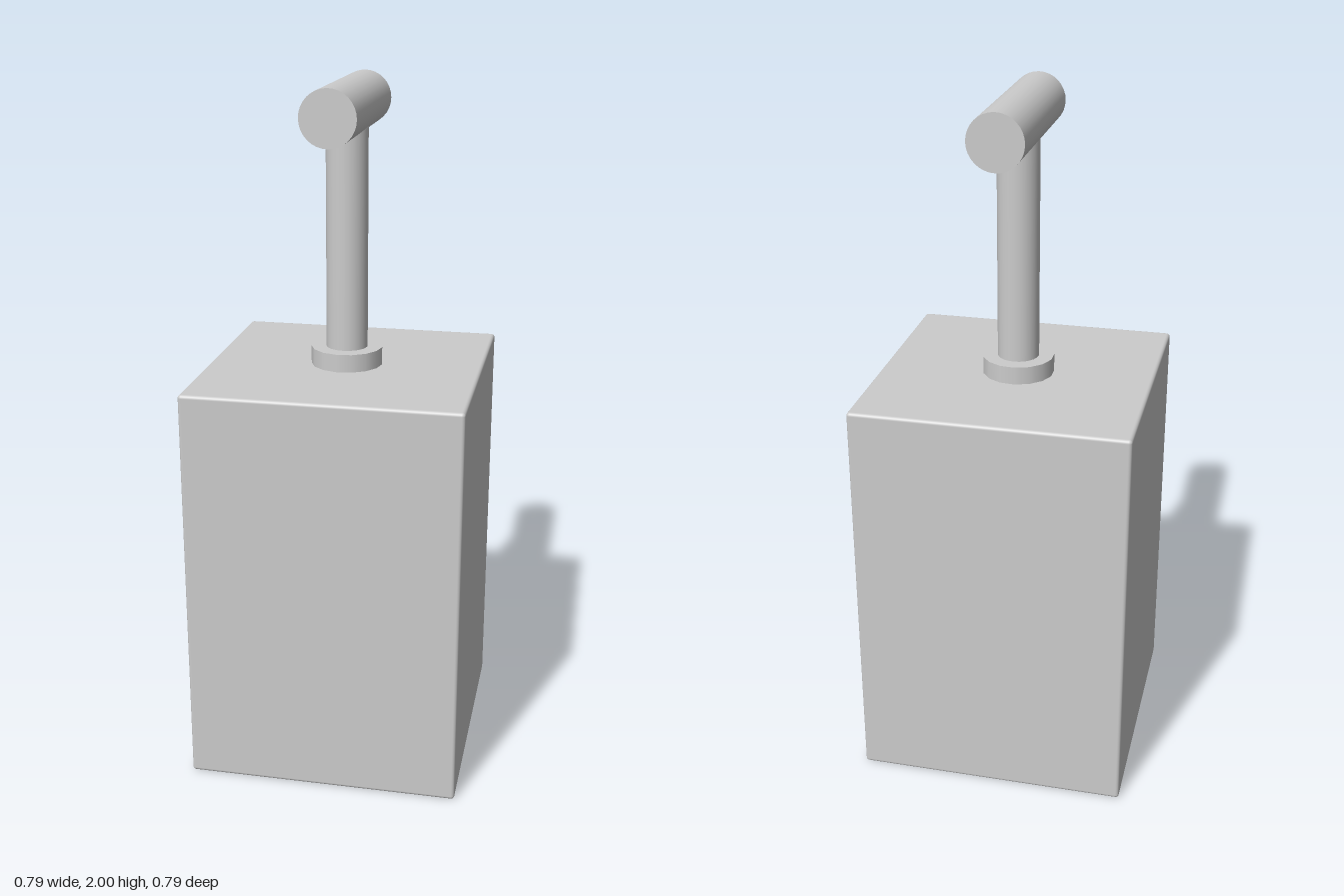
import * as THREE from 'three';
import { RoundedBoxGeometry } from 'three/addons/geometries/RoundedBoxGeometry.js';

export function createModel() {
  const model = new THREE.Group();
  const material = new THREE.MeshStandardMaterial({ color: 0xcccccc });

  function add(name, geometry, x, y, z) {
    const mesh = new THREE.Mesh(geometry, material);
    mesh.name = name;
    mesh.position.set(x, y, z);
    model.add(mesh);
    return mesh;
  }

  // Upright cylinder spanning two heights
  function post(name, radius, bottom, top, sides) {
    const geometry = new THREE.CylinderGeometry(radius, radius, top - bottom, sides);
    geometry.rotateY(Math.PI / 2);
    return add(name, geometry, 0, (bottom + top) / 2, 0);
  }

  // Square block with slightly softened edges
  add('body', new RoundedBoxGeometry(0.79, 1.188, 0.79, 3, 0.01), 0, 0.594, 0);

  // Collar and plunger rod
  post('collar', 0.104, 1.18, 1.24, 15);
  post('rod', 0.06, 1.18, 1.9, 24);

  // Round crossbar running front to back
  const bar = new THREE.CylinderGeometry(0.078, 0.078, 0.53, 32);
  bar.rotateX(Math.PI / 2);
  add('handle', bar, 0, 1.922, -0.003);

  return model;
}
